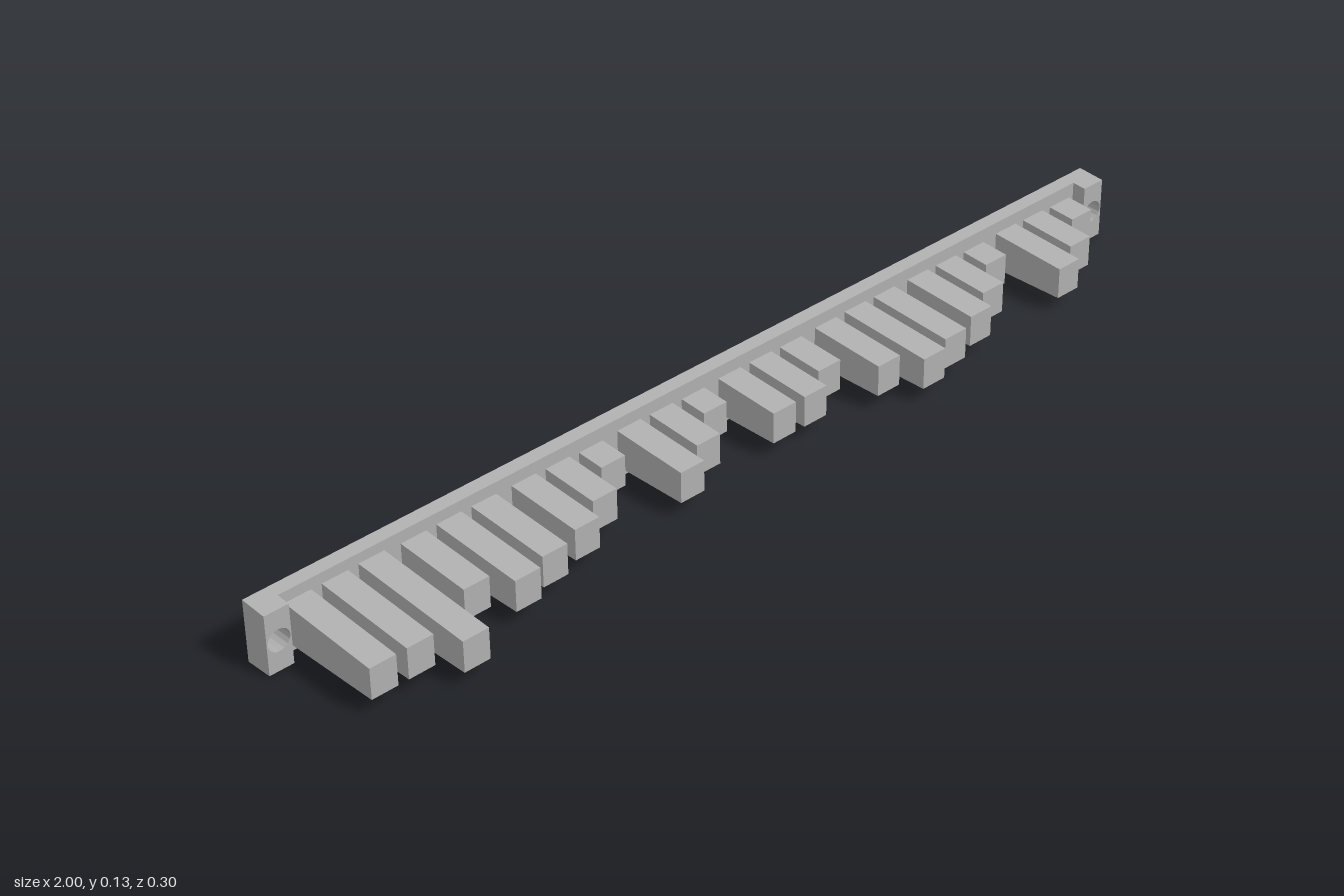
import * as THREE from 'three';

const BACK = -0.148, RAIL_FRONT = -0.12, PAD_FRONT = -0.091;
const MID_Y = 0.063;

// Narrow the height linearly towards the front, like a moulding draft
function draft(geometry, zFrom, hFrom, zTo, hTo) {
  const p = geometry.attributes.position;
  for (let i = 0; i < p.count; i++) {
    const t = (p.getZ(i) - zFrom) / (zTo - zFrom);
    const scale = 1 + (hTo / hFrom - 1) * t;
    p.setY(i, p.getY(i) * scale);
  }
  geometry.computeVertexNormals();
  return geometry;
}

export function createModel() {
  const group = new THREE.Group();
  const grey = new THREE.MeshStandardMaterial({ color: 0xb0b0b0 });
  grey.name = 'grey plastic';

  const add = (name, geometry) => {
    const mesh = new THREE.Mesh(geometry, grey);
    mesh.name = name;
    mesh.position.y = MID_Y;
    group.add(mesh);
    return mesh;
  };

  // Long backing rail between the two end blocks
  const railDepth = RAIL_FRONT - BACK;
  const rail = new THREE.BoxGeometry(1.9, 0.126, railDepth);
  rail.translate(0, 0, BACK + railDepth / 2);
  add('rail', draft(rail, BACK, 0.126, RAIL_FRONT, 0.1235));

  // Thicker end blocks, each with a round screw hole
  for (const side of [-1, 1]) {
    const shape = new THREE.Shape();
    shape.moveTo(-0.025, -0.063);
    shape.lineTo(0.025, -0.063);
    shape.lineTo(0.025, 0.063);
    shape.lineTo(-0.025, 0.063);
    shape.closePath();
    const hole = new THREE.Path();
    hole.absarc(0, 0, 0.023, 0, Math.PI * 2, true);
    shape.holes.push(hole);
    const block = new THREE.ExtrudeGeometry(shape, {
      depth: PAD_FRONT - BACK, bevelEnabled: false, curveSegments: 8,
    });
    block.translate(side * 0.975, 0, BACK);
    add(side > 0 ? 'leftEndBlock' : 'rightEndBlock', draft(block, BACK, 0.126, PAD_FRONT, 0.121));
  }

  // Eight groups of three teeth; each number is where a tooth ends in z
  const tips = [
    [0.1, 0.1, 0.148], [0.043, 0.083, 0.063], [0.043, 0.002, -0.062], [0.043, 0.002, -0.062],
    [0.022, 0.022, -0.02], [0.043, 0.083, 0.063], [0.043, 0.002, -0.062], [0.043, 0.002, -0.062],
  ];
  const tipHeight = 0.063;
  tips.forEach((trio, g) => trio.forEach((tip, i) => {
    const length = tip - RAIL_FRONT;
    const tooth = new THREE.BoxGeometry(0.054, tipHeight, length);
    tooth.translate(0, 0, RAIL_FRONT + length / 2);
    draft(tooth, tip, tipHeight, RAIL_FRONT, tipHeight + length * 0.074);
    const mesh = add(`tooth${g * 3 + i + 1}`, tooth);
    mesh.position.x = (g - 3.5) * 0.239 + (i - 1) * 0.0755;
  }));

  return group;
}
